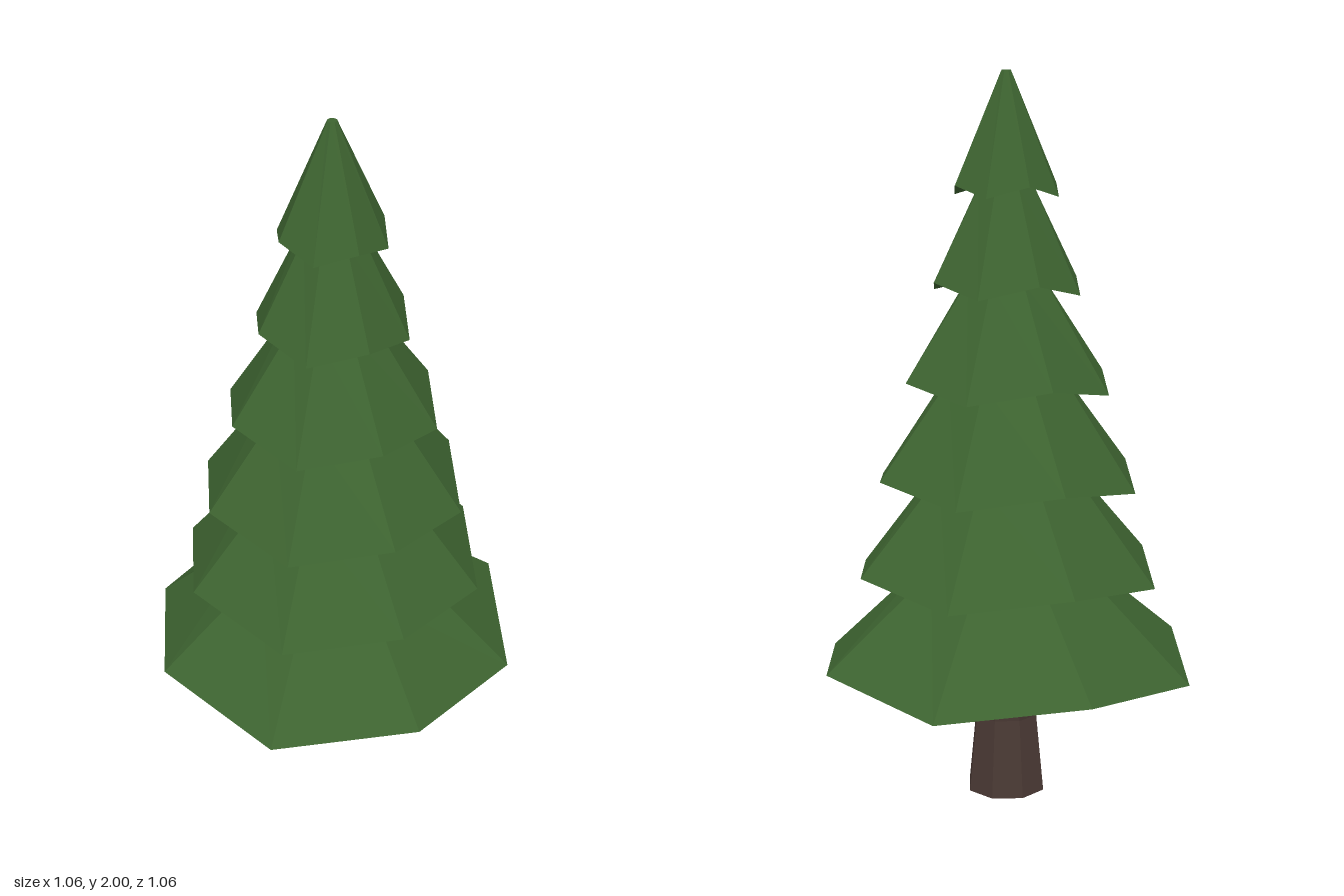
import * as THREE from 'three';

const SIDES = 8;

// Eight-sided faceted solid turned from [radius, height] pairs, bottom to top
function facetedLathe(name, profile, color) {
  const points = profile.map(([r, y]) => new THREE.Vector2(r, y));
  const geometry = new THREE.LatheGeometry(points, SIDES);
  const mesh = new THREE.Mesh(geometry, new THREE.MeshStandardMaterial({ color, flatShading: true }));
  mesh.name = name;
  return mesh;
}

export function createModel() {
  const tree = new THREE.Group();
  tree.name = 'pineTree';

  // Trunk: flared at the foot, narrow at the waist
  tree.add(facetedLathe('trunk', [[0, 0], [0.112, 0], [0.09, 0.22], [0.108, 0.39], [0, 0.39]], 0x4a3934));

  // Foliage tiers: rim radius and height, inner underside radius and height, lift of every second rim corner
  const tiers = [
    { rim: [0.532, 0.36], inner: [0.3, 0.378], lift: 0.04 },
    { rim: [0.43, 0.622], inner: [0.225, 0.655], lift: 0.036 },
    { rim: [0.371, 0.882], inner: [0.2, 0.92], lift: 0.036 },
    { rim: [0.294, 1.145], inner: [0.17, 1.18], lift: 0.036 },
    { rim: [0.211, 1.41], inner: [0.112, 1.445], lift: 0.036 },
    { rim: [0.149, 1.67], inner: [0.08, 1.695], lift: 0.03 },
  ];
  const profile = [[0, 0.378]];
  for (const { inner, rim } of tiers) profile.push(inner, rim);
  profile.push([0.013, 2], [0, 2]);
  const foliage = facetedLathe('foliage', profile, 0x3d6330);

  // Raise the diagonal rim corners so the tiers droop at the others
  const position = foliage.geometry.attributes.position;
  for (let s = 1; s < SIDES; s += 2) {
    tiers.forEach(({ lift }, t) => {
      const i = s * profile.length + 2 + t * 2;
      position.setY(i, position.getY(i) + lift);
    });
  }
  foliage.geometry.computeVertexNormals();
  tree.add(foliage);

  return tree;
}
